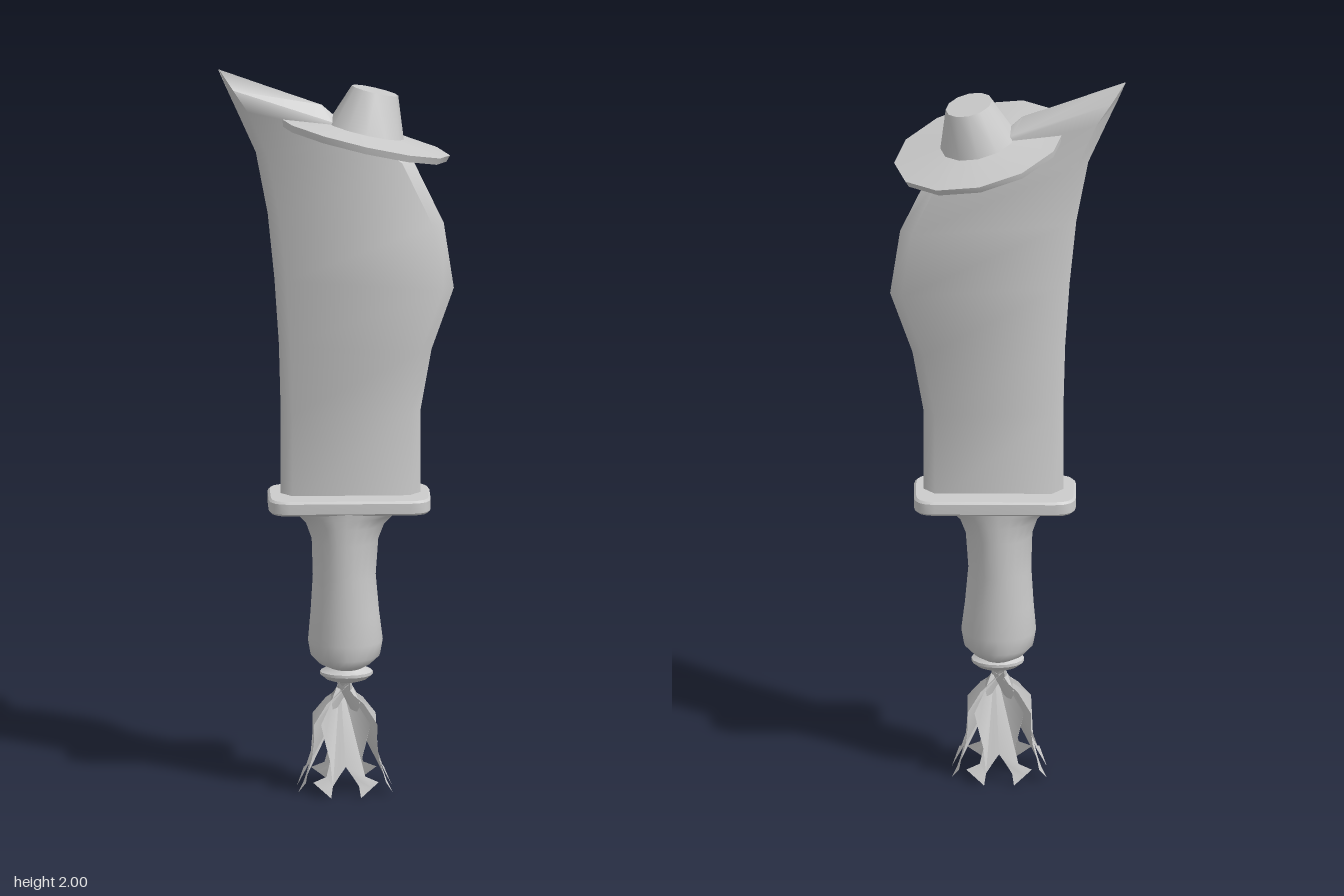
import * as THREE from 'three';
import { toCreasedNormals } from 'three/addons/utils/BufferGeometryUtils.js';

const material = new THREE.MeshStandardMaterial({ color: 0xcccccc });
const thin = new THREE.MeshStandardMaterial({ color: 0xcccccc, side: THREE.DoubleSide });

function part(name, geometry, mat = material) {
  const mesh = new THREE.Mesh(geometry, mat);
  mesh.name = name;
  return mesh;
}

// Skin a stack of closed rings (bottom to top) and cap both ends
function loft(rings, crease) {
  const n = rings[0].length, pos = [], index = [];
  rings.forEach(r => r.forEach(p => pos.push(...p)));
  for (let i = 0; i < rings.length - 1; i++) {
    for (let j = 0; j < n; j++) {
      const k = (j + 1) % n, a = i * n + j, b = i * n + k;
      index.push(a, b, b + n, a, b + n, a + n);
    }
  }
  const last = (rings.length - 1) * n;
  for (let j = 1; j < n - 1; j++) {
    index.push(0, j + 1, j, last, last + j, last + j + 1);
  }
  const g = new THREE.BufferGeometry();
  g.setAttribute('position', new THREE.Float32BufferAttribute(pos, 3));
  g.setIndex(index);
  return toCreasedNormals(g, crease);
}

// Blade: six-sided sections with bevelled edges, closing to a ridge at the top
function blade() {
  // left x, left y, right x, right y, bevel width, half thickness
  const rows = [
    [-0.15, 0.80, 0.225, 0.80, 0.03, 0.036],
    [-0.15, 1.05, 0.225, 1.05, 0.03, 0.036],
    [-0.155, 1.24, 0.255, 1.22, 0.03, 0.036],
    [-0.167, 1.42, 0.315, 1.39, 0.03, 0.036],
    [-0.185, 1.60, 0.288, 1.57, 0.03, 0.036],
    [-0.217, 1.77, 0.205, 1.745, 0.03, 0.036],
    [-0.27, 1.89, 0.09, 1.82, 0.03, 0.036],
    [-0.297, 1.95, 0.005, 1.86, 0.018, 0.036],
    [-0.318, 2.00, -0.04, 1.90, 0.002, 0],
  ];
  const zc = -0.01;
  const rings = rows.map(([lx, ly, rx, ry, b, h]) => [
    [lx, ly, zc], [lx + b, ly, zc + h], [rx - b, ry, zc + h],
    [rx, ry, zc], [rx - b, ry, zc - h], [lx + b, ly, zc - h],
  ]);
  return part('blade', loft(rings, 1.05));
}

// Guard: rounded plate lying flat
function guard() {
  const x0 = -0.178, x1 = 0.245, z0 = -0.09, z1 = 0.108, r = 0.05;
  const s = new THREE.Shape();
  s.moveTo(x0 + r, z0);
  s.lineTo(x1 - r, z0);
  s.quadraticCurveTo(x1, z0, x1, z0 + r);
  s.lineTo(x1, z1 - r);
  s.quadraticCurveTo(x1, z1, x1 - r, z1);
  s.lineTo(x0 + r, z1);
  s.quadraticCurveTo(x0, z1, x0, z1 - r);
  s.lineTo(x0, z0 + r);
  s.quadraticCurveTo(x0, z0, x0 + r, z0);
  const g = new THREE.ExtrudeGeometry(s, {
    depth: 0.028, bevelThickness: 0.006, bevelSize: 0.006, bevelSegments: 1, curveSegments: 4,
  });
  g.rotateX(-Math.PI / 2);
  g.translate(0, 0.791, 0);
  return part('guard', toCreasedNormals(g, 0.6));
}

// Handle: oval grip flaring into the guard
function handle() {
  // y, left x, right x, half depth
  const rows = [
    [0.35, -0.025, 0.075, 0.075], [0.36, -0.05, 0.095, 0.09], [0.38, -0.07, 0.117, 0.097],
    [0.42, -0.077, 0.124, 0.098], [0.5, -0.07, 0.114, 0.098], [0.6, -0.064, 0.105, 0.098],
    [0.7, -0.067, 0.112, 0.098], [0.745, -0.083, 0.13, 0.098], [0.77, -0.107, 0.155, 0.099],
    [0.79, -0.155, 0.21, 0.1],
  ];
  const rings = rows.map(([y, l, r, d]) => Array.from({ length: 24 }, (_, j) => {
    const a = j / 24 * Math.PI * 2;
    return [(l + r) / 2 + Math.sin(a) * (r - l) / 2, y, -0.006 + Math.cos(a) * d];
  }));
  return part('handle', loft(rings, 1));
}

// Collar: pinched neck with a ring below the grip
function collar() {
  const profile = [[0, 0.3], [0.03, 0.305], [0.055, 0.313], [0.071, 0.326], [0.071, 0.334],
    [0.052, 0.344], [0.046, 0.352], [0.06, 0.36], [0, 0.365]].map(p => new THREE.Vector2(...p));
  const mesh = part('collar', toCreasedNormals(new THREE.LatheGeometry(profile, 16), 0.8));
  mesh.position.x = 0.026;
  mesh.scale.z = 0.82;
  return mesh;
}

// Tassel: four bowed leaves, each ending in two curled tails
function tassel() {
  const half = [[0.012, 0.31], [0.04, 0.25], [0.066, 0.2], [0.055, 0.15], [0.042, 0.1],
    [0.052, 0.06], [0.088, 0.045], [0.07, 0.03], [0.04, 0.005], [0.035, 0.035], [0.018, 0.06]];
  const outline = [...half, [0, 0.085], ...half.map(([x, y]) => [-x, y]).reverse()];
  const bow = [[0, 0.13], [0.05, 0.105], [0.1, 0.09], [0.15, 0.085], [0.2, 0.085], [0.25, 0.05], [0.31, 0.012]];
  const radius = y => {
    const i = Math.max(1, bow.findIndex(p => p[0] >= y));
    const [a, b] = [bow[i - 1], bow[i]];
    return a[1] + (b[1] - a[1]) * (y - a[0]) / (b[0] - a[0]);
  };
  const g = new THREE.ShapeGeometry(new THREE.Shape(outline.map(p => new THREE.Vector2(...p))));
  const pos = g.attributes.position;
  for (let i = 0; i < pos.count; i++) pos.setZ(i, radius(pos.getY(i)));
  const leaf = toCreasedNormals(g, 0.7);
  const group = new THREE.Group();
  group.name = 'tassel';
  group.position.set(0.022, 0, -0.003);
  for (let i = 0; i < 4; i++) {
    const mesh = part('tasselLeaf', leaf, thin);
    mesh.rotation.y = i * Math.PI / 2;
    if (i % 2 === 0) mesh.scale.z = 0.8;
    group.add(mesh);
  }
  return group;
}

// Hat: twelve-sided brim and tapered crown, tilted over the blade's shoulder
function hat() {
  const profile = [[0, -0.02], [0.1, -0.022], [0.23, -0.034], [0.236, -0.015],
    [0.105, 0], [0.064, 0.112], [0, 0.112]].map(p => new THREE.Vector2(...p));
  const mesh = part('hat', toCreasedNormals(new THREE.LatheGeometry(profile, 12), 0.6));
  mesh.position.set(0.078, 1.828, -0.004);
  mesh.rotation.set(-0.12, 0, -0.23);
  return mesh;
}

export function createModel() {
  const model = new THREE.Group();
  model.name = 'swordWithHat';
  model.add(blade(), guard(), handle(), collar(), tassel(), hat());
  return model;
}
